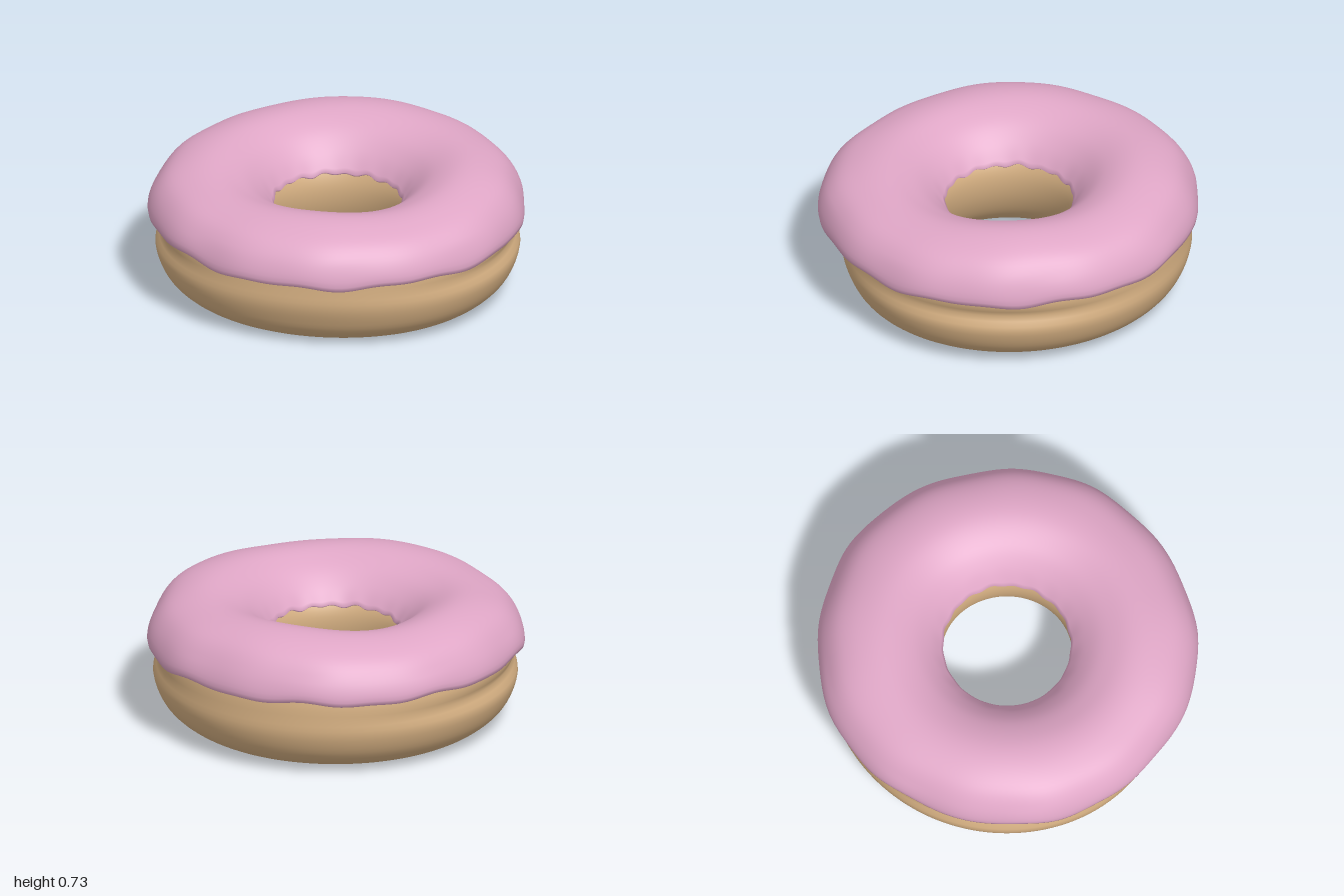
import * as THREE from 'three';

const { sin, cos, PI } = Math;
const clamp01 = (v) => Math.min(1, Math.max(0, v));

// Closed ring swept from a smooth (radius, height) section; shape(r, y, angle) bends it.
// Angle 0 is the front (+z), PI / 2 is +x.
function ring(name, color, section, shape, around = 192, steps = 72) {
  const curve = new THREE.CatmullRomCurve3(
    section.map(([r, y]) => new THREE.Vector3(r, y, 0)), true, 'centripetal');
  const profile = curve.getSpacedPoints(steps).slice(0, steps);
  const positions = [], indices = [];
  for (let i = 0; i < around; i++) {
    const a = (i / around) * 2 * PI;
    for (let j = 0; j < steps; j++) {
      const [r, y] = shape(profile[j].x, profile[j].y, a);
      positions.push(r * sin(a), Math.max(0, y), r * cos(a));
      const i2 = (i + 1) % around, j2 = (j + 1) % steps;
      const p = i * steps + j, q = i2 * steps + j;
      const s = i * steps + j2, t = i2 * steps + j2;
      indices.push(p, q, t, p, t, s);
    }
  }
  const geometry = new THREE.BufferGeometry();
  geometry.setAttribute('position', new THREE.Float32BufferAttribute(positions, 3));
  geometry.setIndex(indices);
  geometry.computeVertexNormals();
  const mesh = new THREE.Mesh(geometry, new THREE.MeshStandardMaterial({ color }));
  mesh.name = name;
  return mesh;
}

// Gentle rise and fall of the top around the ring
const topHeight = (a) => -0.007 - 0.022 * cos(a) + 0.01 * cos(4 * a);

export function createModel() {
  const group = new THREE.Group();
  group.name = 'donut';

  // Dough: flat underside, flared hole, slight waist on the two sides, flatter front
  const doughSection = [
    [0.64, 0], [0.73, 0.008], [0.82, 0.04], [0.91, 0.12], [0.957, 0.24], [0.952, 0.33],
    [0.94, 0.42], [0.89, 0.54], [0.79, 0.62], [0.65, 0.645], [0.5, 0.59], [0.405, 0.51],
    [0.355, 0.43], [0.342, 0.35], [0.36, 0.24], [0.42, 0.12], [0.52, 0.03],
  ];
  group.add(ring('dough', 0xd2ad80, doughSection, (r, y, a) => {
    const outer = clamp01((r - 0.65) / 0.28);
    const waist = 0.03 * sin(a) ** 4 * Math.exp(-(((y - 0.325) / 0.04) ** 2));
    const front = 0.075 * Math.max(0, cos(a)) ** 4;
    const top = clamp01((y - 0.42) / 0.22);
    return [r - outer * (waist + front), y + top * topHeight(a)];
  }));

  // Icing: a thick shell over the top with a wavy outer lip and a scalloped inner lip
  const icingSection = [
    [0.992, 0.445], [0.965, 0.54], [0.89, 0.635], [0.77, 0.69], [0.64, 0.7], [0.5, 0.65],
    [0.405, 0.57], [0.35, 0.495], [0.332, 0.46], [0.36, 0.465], [0.42, 0.54], [0.52, 0.615],
    [0.65, 0.66], [0.78, 0.635], [0.88, 0.565], [0.925, 0.49], [0.95, 0.43], [0.98, 0.412],
  ];
  group.add(ring('icing', 0xdfa6c6, icingSection, (r, y, a) => {
    const top = clamp01((y - 0.42) / 0.26);
    const lip = clamp01((0.56 - y) / 0.13);
    if (r > 0.65) {
      const drip = -0.014 * cos(a - 0.5) + 0.008 * sin(9 * a + 2.5) + 0.005 * sin(17 * a + 1);
      const bulge = 0.005 * cos(2 * a) + 0.006 * sin(5 * a + 2) + 0.004 * sin(13 * a);
      return [r + bulge * clamp01((r - 0.65) / 0.3), y + lip * drip + top * topHeight(a)];
    }
    const scallop = 0.008 * sin(18 * a) + 0.005 * sin(11 * a + 1);
    return [r + lip * 0.4 * scallop, y + lip * scallop + top * topHeight(a)];
  }));

  return group;
}
